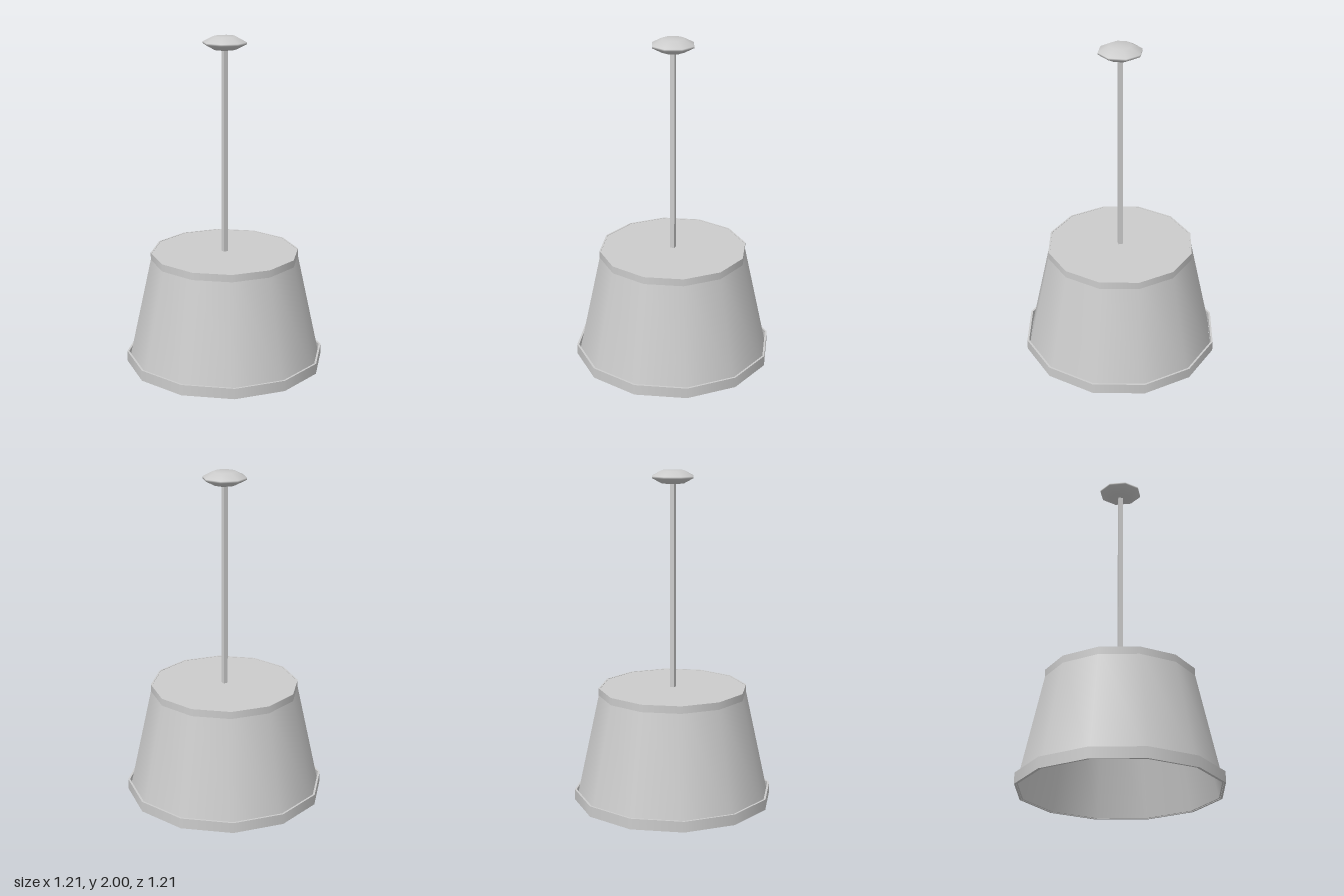
import * as THREE from 'three';
import { mergeGeometries } from 'three/addons/utils/BufferGeometryUtils.js';

const SIDES = 12;

// Turns a [radius, y] outline (going up = facing out), smooth around and sharp between segments.
function turned(outline, sides) {
  const bands = [];
  for (let i = 0; i < outline.length - 1; i++) {
    const pair = [outline[i], outline[i + 1]].map(([r, y]) => new THREE.Vector2(r, y));
    bands.push(new THREE.LatheGeometry(pair, sides));
  }
  return mergeGeometries(bands);
}

// Closed ring wall with given bottom and top radii.
function wall(rBottom, rTop, y0, y1, thickness) {
  return turned([
    [rBottom - thickness, y0], [rBottom, y0], [rTop, y1],
    [rTop - thickness, y1], [rBottom - thickness, y0],
  ], SIDES);
}

export function createModel() {
  const group = new THREE.Group();
  const grey = new THREE.MeshStandardMaterial({ color: 0xcccccc });
  grey.name = 'lightGrey';

  const add = (name, geometry, y = 0) => {
    const mesh = new THREE.Mesh(geometry, grey);
    mesh.name = name;
    mesh.position.y = y;
    group.add(mesh);
    return mesh;
  };

  // Tapered shade with its trims and closed top
  add('shade', wall(0.592, 0.441, 0.003, 0.697, 0.008));
  add('bottomTrim', wall(0.605, 0.605, 0, 0.065, 0.012));
  add('topTrim', wall(0.45, 0.45, 0.655, 0.7, 0.01));
  add('shadeTop', turned([[0, 0.685], [0.441, 0.685], [0.441, 0.698], [0, 0.698]], SIDES));

  // Square rod
  add('rod', new THREE.BoxGeometry(0.027, 1.25, 0.027), 1.315);

  // Ceiling canopy, softly shaded over its whole outline
  const canopy = [[0, 1.925], [0.07, 1.925], [0.13, 1.957], [0.13, 1.968], [0.068, 2], [0, 2]];
  add('canopy', new THREE.LatheGeometry(canopy.map(([r, y]) => new THREE.Vector2(r, y)), 8));

  // Socket and bulb inside the shade
  add('socket', new THREE.CylinderGeometry(0.04, 0.04, 0.27, 8), 0.555);
  add('bulb', new THREE.SphereGeometry(0.085, 8, 6), 0.35);

  return group;
}
